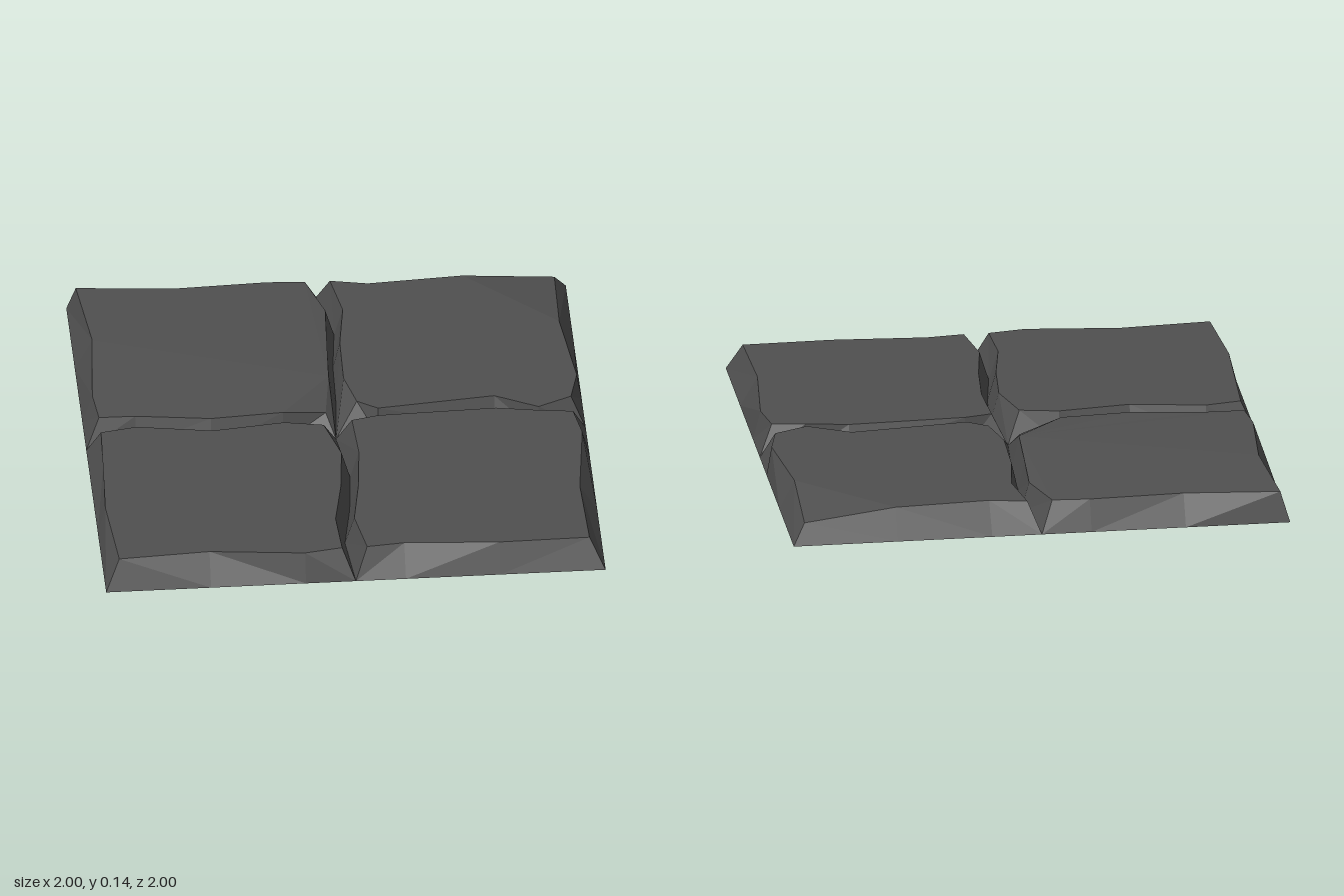
import * as THREE from 'three';

const H = 0.12; // usual height of a slab top

// Joints: [distance from centre, rim on the negative side, rim on the positive side]
const backJoint = [[0.25, -0.01, 0.05], [0.5, 0, 0.055], [0.73, 0.015, 0.085]];
const frontJoint = [[0.27, 0, 0.07], [0.5, -0.02, 0.05], [0.73, -0.06, 0.015]];
const leftJoint = [[0.21, -0.03, 0.04], [0.5, -0.01, 0.075], [0.8, -0.05, 0.025]];
const rightJoint = [[0.17, -0.03, 0.02], [0.64, -0.08, 0.005], [0.81, 0.01, 0.035]];

// sx, sz: quadrant; inner: rim corner at the centre; side, end: rim insets along
// the outer edges; corner: inset of the outer corner; fan: start of the top facets;
// heights: rim points that leave the usual height
const slabs = [
  { name: 'backRaisedSlab', sx: -1, sz: -1, inner: [0.035, 0.08], side: [0.04, 0.07],
    end: [0.07, 0.055], corner: 0.035, fan: 13,
    heights: { 0: 0.075, 5: 0.125, 6: 0.132, 12: 0.127, 13: 0.135 } },
  { name: 'backChippedSlab', sx: 1, sz: -1, inner: [0.09, 0.085], side: [0.02, 0.06],
    end: [0.07, 0.095], corner: 0.05, fan: 6, heights: { 7: 0.08 } },
  { name: 'frontFlatSlabA', sx: -1, sz: 1, inner: [0.055, 0.07], side: [0.055, 0.03],
    end: [0.08, 0.04], corner: 0.057, fan: 6, heights: {} },
  { name: 'frontFlatSlabB', sx: 1, sz: 1, inner: [0.06, 0.045], side: [0.03, 0.07],
    end: [0.055, 0.08], corner: 0.06, fan: 6, heights: {} },
];

// Sloped rim plus faceted top, open underneath
function slabGeometry({ sx, sz, inner, side, end, corner, fan, heights }) {
  const base = [];
  const top = [];
  // Adds a ground point and its rim point, both as distances from the centre lines
  const add = (bu, bv, tu, tv) => {
    const y = heights[top.length] ?? H;
    base.push([bu * sx, 0, bv * sz]);
    top.push([tu * sx, y, tv * sz]);
  };
  const acrossJoint = sx < 0 ? leftJoint : rightJoint;
  const alongJoint = sz < 0 ? backJoint : frontJoint;

  add(0, 0, ...inner);
  for (const [d, a, b] of acrossJoint) {
    add(d, sz * (a + b) / 2, d, sz * (sz < 0 ? a : b));
  }
  add(1, 0, 0.945, 0.052);
  add(1, 0.2, 1 - side[0], 0.2);
  add(1, 0.58, 1 - side[1], 0.58);
  add(1, 1, 1 - corner, 1 - corner);
  add(0.58, 1, 0.58, 1 - end[0]);
  add(0.2, 1, 0.2, 1 - end[1]);
  add(0, 1, 0.05, 0.935);
  for (const [d, a, b] of [...alongJoint].reverse()) {
    add(sx * (a + b) / 2, d, sx * (sx < 0 ? a : b), d);
  }

  const n = top.length;
  const index = [];
  // Mirrored quadrants swap the corner order
  const face = (a, b, c) => index.push(...(sx * sz > 0 ? [a, b, c] : [a, c, b]));
  for (let i = 0; i < n; i++) {
    const j = (i + 1) % n;
    face(i, n + i, j);
    face(j, n + i, n + j);
  }
  for (let k = 1; k < n - 1; k++) {
    face(n + fan, n + (fan + k + 1) % n, n + (fan + k) % n);
  }
  const indexed = new THREE.BufferGeometry();
  indexed.setAttribute('position', new THREE.Float32BufferAttribute([...base, ...top].flat(), 3));
  indexed.setIndex(index);
  const geometry = indexed.toNonIndexed();
  geometry.computeVertexNormals();
  return geometry;
}

export function createModel() {
  const group = new THREE.Group();
  group.name = 'stonePaving';
  const stone = new THREE.MeshStandardMaterial({ color: 0x505050, side: THREE.DoubleSide, flatShading: true });
  stone.name = 'dark grey stone';
  for (const slab of slabs) {
    const mesh = new THREE.Mesh(slabGeometry(slab), stone);
    mesh.name = slab.name;
    group.add(mesh);
  }
  return group;
}
